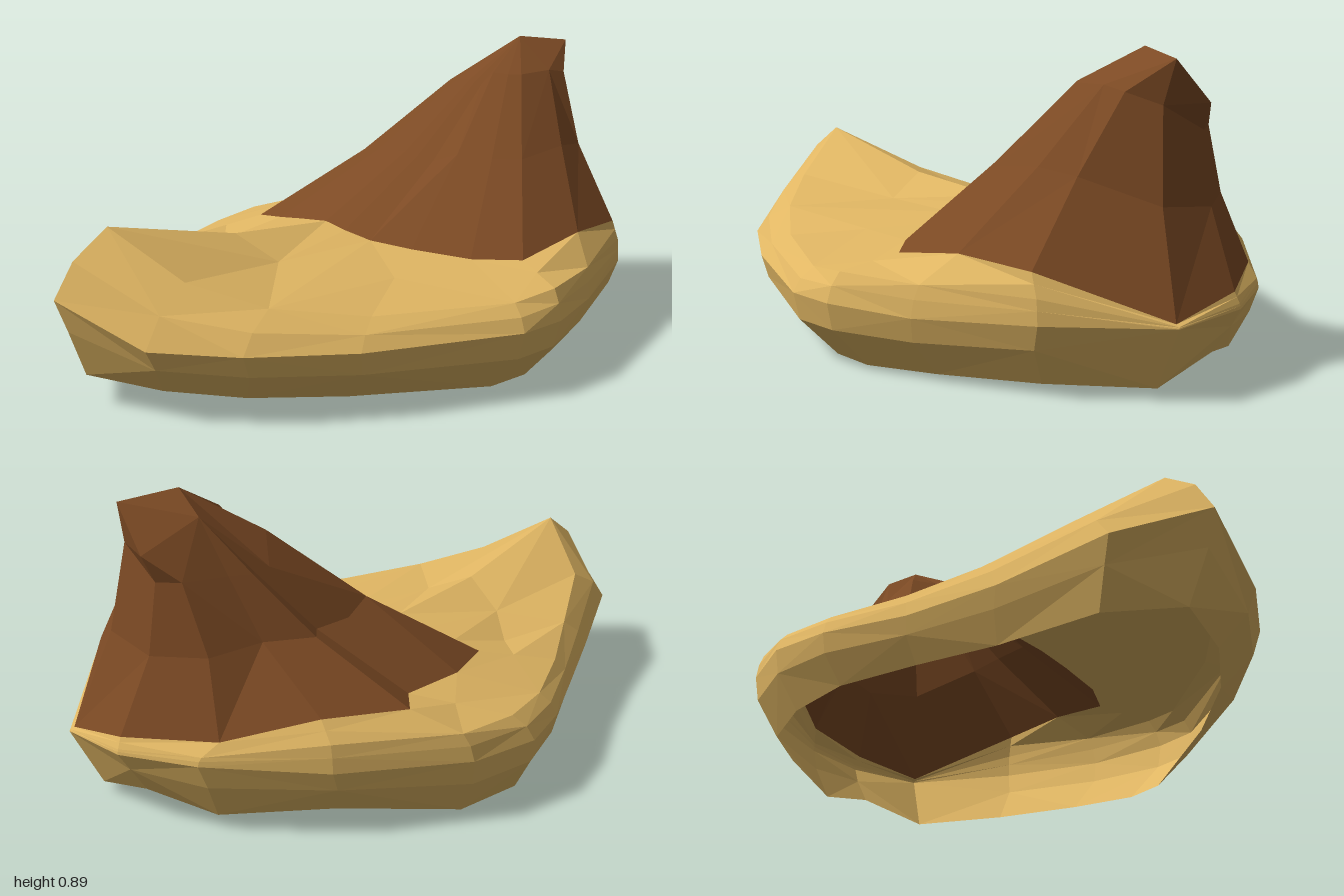
import * as THREE from 'three';

// Widest outline of the brim: x, y, z, starting at +x and turning towards +z
const OUTLINE = [
  [1, .21, 0], [.81, .21, .3], [.53, .19, .52], [.32, .2, .67], [.17, .2, .71], [-.3, .2, .64],
  [-.6, .21, .55], [-.82, .22, .42], [-1, .33, .22], [-.91, .26, -.03], [-.66, .2, -.24], [-.45, .18, -.42],
  [-.25, .19, -.6], [-.09, .19, -.7], [.13, .19, -.72], [.5, .2, -.6], [.8, .22, -.41], [.95, .22, -.23],
];
// Line where the crown meets the brim, same columns
const CROWN_EDGE = [
  [.985, .22, 0], [.78, .345, .3], [.57, .36, .4], [.33, .32, .46], [.2, .32, .38], [.08, .33, .24],
  [0, .34, .13], [-.04, .355, .04], [-.06, .365, -.05], [-.09, .35, -.16], [-.12, .335, -.26], [-.15, .325, -.35],
  [0, .325, -.45], [.2, .325, -.5], [.26, .33, -.6], [.5, .335, -.54], [.74, .28, -.42], [.935, .265, -.22],
];
// Heights of the lower lip and of the rounded shoulder
const LIP_Y = [.03, .03, .01, 0, 0, .03, .05, .07, .09, .08, .06, .06, .05, .02, .01, .06, .04, .085];
const SHOULDER_Y = [.215, .28, .28, .285, .27, .27, .305, .37, .5, .37, .3, .265, .26, .265, .27, .28, .245, .235];
const PEAK = [.68, .89, -.1];
const PEAK_BACK = [.67, .83, -.2];
const TIP = [.85, .87, -.08];
const TIP_BACK = [.84, .75, -.2];

const mix = (a, b, t) => a.map((v, k) => v + (b[k] - v) * t);
const isBack = (i) => i > 11 && i < 16;

// Flat-faceted skin over closed rings listed from bottom to top
function skin(rings) {
  const pos = [];
  const tri = (...pts) => pts.forEach((p) => pos.push(...p));
  for (let r = 0; r + 1 < rings.length; r++) {
    const lo = rings[r], hi = rings[r + 1], n = lo.length;
    for (let i = 0; i < n; i++) {
      const j = (i + 1) % n;
      if ((i + r) % 2) {
        tri(lo[i], hi[i], lo[j]);
        tri(lo[j], hi[i], hi[j]);
      } else {
        tri(lo[i], hi[i], hi[j]);
        tri(lo[i], hi[j], lo[j]);
      }
    }
  }
  const geo = new THREE.BufferGeometry();
  geo.setAttribute('position', new THREE.Float32BufferAttribute(pos, 3));
  geo.computeVertexNormals();
  return geo;
}

// End point that each column of the crown leans towards
function crownTarget(i) {
  if (i > 15) return TIP_BACK;
  if (i < 2) return TIP;
  if (i === 2) return mix(PEAK, TIP, .4);
  return isBack(i) ? PEAK_BACK : PEAK;
}

export function createModel() {
  const group = new THREE.Group();
  const makeMaterial = (name, color) => {
    const m = new THREE.MeshStandardMaterial({ color, side: THREE.DoubleSide, flatShading: true });
    m.name = name;
    return m;
  };
  const add = (name, rings, material) => {
    const mesh = new THREE.Mesh(skin(rings), material);
    mesh.name = name;
    group.add(mesh);
  };

  // Brim: open lip tucked in below, rounded flank, widest line, shoulder, deck
  const lip = OUTLINE.map(([x, , z], i) => [x * .91, LIP_Y[i], z * (z > 0 ? .81 : .9)]);
  const flank = lip.map((p, i) => {
    const [x, y, z] = mix(p, OUTLINE[i], .6);
    return [x, y, z + (OUTLINE[i][2] - z) * .65];
  });
  const shoulder = OUTLINE.map((p, i) => {
    const [x, , z] = mix(p, CROWN_EDGE[i], .18);
    return [x, SHOULDER_Y[i], z];
  });
  const brow = OUTLINE.map((p, i) => {
    const [x, y, z] = mix(p, shoulder[i], .36);
    return [x, y + (SHOULDER_Y[i] - p[1]) * .2, z];
  });
  const deck = shoulder.map((p, i) => {
    const [x, y, z] = mix(p, CROWN_EDGE[i], .55);
    return [x, y - (i > 6 && i < 11 ? .03 : 0), z];
  });
  add('brim', [lip, flank, OUTLINE, brow, shoulder, deck, CROWN_EDGE], makeMaterial('tan', 0xe0b663));

  // Crown: leaning ridge, steep on the +x side and pinched at the back
  const crownRing = (t, leftBulge, backBulge, sideBulge, pinch) => CROWN_EDGE.map((p, i) => {
    const [x, y, z] = mix(p, crownTarget(i), t);
    if (isBack(i)) return [x, y + backBulge, z + pinch];
    if (i > 5 && i < 12) return [x, y + leftBulge, z];
    return [x - (i < 2 || i > 15 ? .06 : 0), y + sideBulge, z];
  });
  add('crown', [
    CROWN_EDGE,
    crownRing(.4, -.02, -.03, .015, .055),
    crownRing(.73, .015, -.02, .055, .02),
    CROWN_EDGE.map((p, i) => crownTarget(i)),
    CROWN_EDGE.map(() => TIP),
  ], makeMaterial('brown', 0x7c4a24));

  return group;
}
